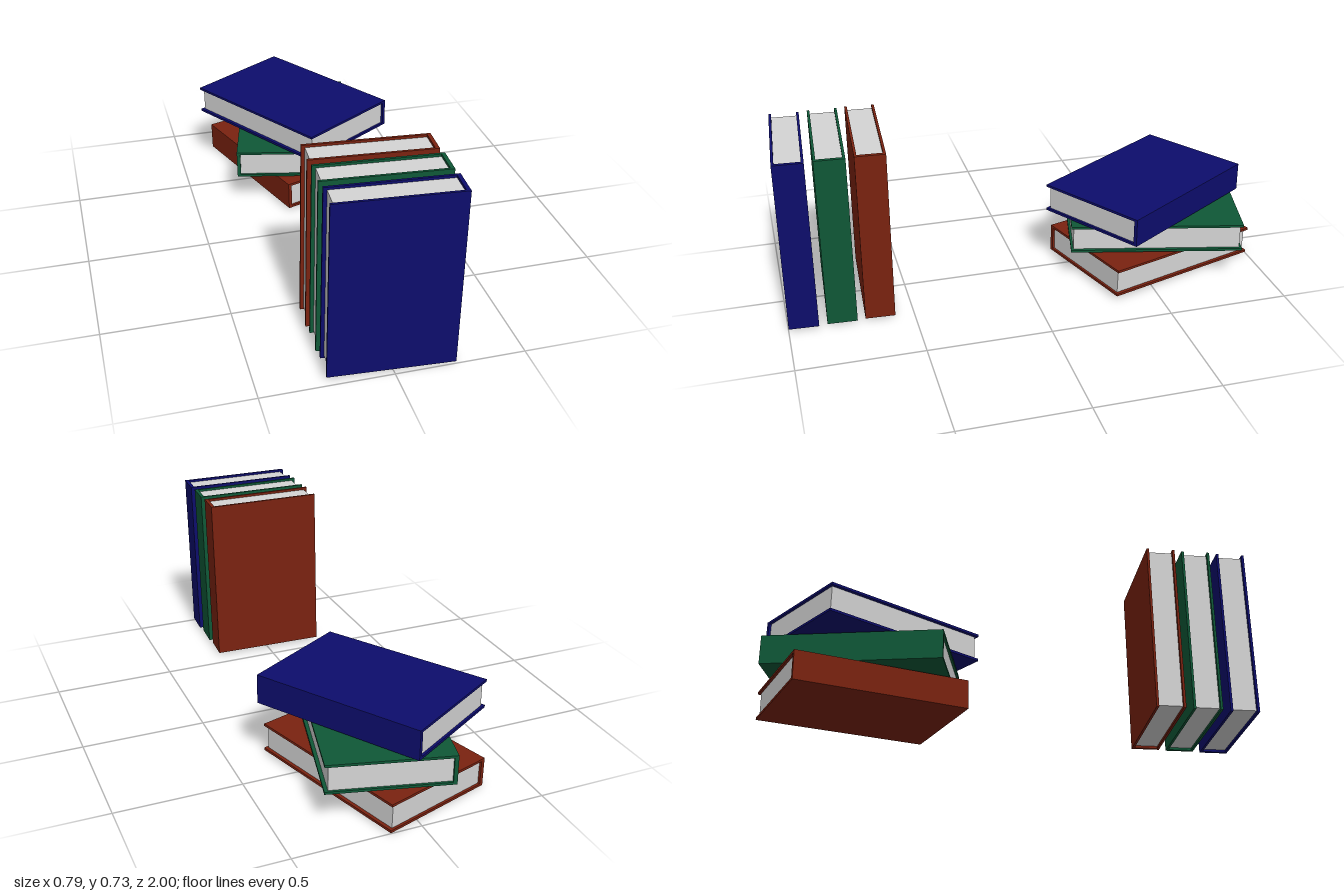
import * as THREE from 'three';

const W = 0.48, H = 0.715, T = 0.119;   // book width, height, thickness
const BOARD = 0.01, SPINE = 0.015;      // cover board and spine thickness
const FORE = 0.014, TRIM = 0.01;        // how far the pages sit inside the cover

const mat = (name, color) => {
  const m = new THREE.MeshStandardMaterial({ color });
  m.name = name;
  return m;
};

// U-shaped cover section (spine at +x), extruded along the book's height
function coverGeometry() {
  const w = W / 2, t = T / 2, s = w - SPINE, b = t - BOARD;
  const pts = [[-w, -t], [w, -t], [w, t], [-w, t], [-w, b], [s, b], [s, -b], [-w, -b]];
  const shape = new THREE.Shape(pts.map(([x, y]) => new THREE.Vector2(x, y)));
  const g = new THREE.ExtrudeGeometry(shape, { depth: H, bevelEnabled: false });
  g.translate(0, 0, -H / 2);
  g.rotateX(-Math.PI / 2);
  return g;
}

// Page block, inset on the three open sides
function pagesGeometry() {
  const g = new THREE.BoxGeometry(W - FORE - SPINE, H - 2 * TRIM, T - 2 * BOARD);
  g.translate((FORE - SPINE) / 2, 0, 0);
  return g;
}

export function createModel() {
  const root = new THREE.Group();
  root.name = 'books';
  const blue = mat('blue cover', 0x0d0d6c);
  const green = mat('green cover', 0x0f5837);
  const red = mat('red cover', 0x7a2210);
  const paper = mat('paper', 0xd4d4d4);
  const coverGeo = coverGeometry(), pagesGeo = pagesGeometry();

  function book(name, material) {
    const g = new THREE.Group();
    g.name = name;
    const cover = new THREE.Mesh(coverGeo, material);
    cover.name = 'cover';
    const pages = new THREE.Mesh(pagesGeo, paper);
    pages.name = 'pages';
    g.add(cover, pages);
    root.add(g);
    return g;
  }

  // Upright row, leaning very slightly
  [['standingBlueBook', blue, 0.928], ['standingGreenBook', green, 0.776], ['standingRedBook', red, 0.625]]
    .forEach(([name, m, z]) => {
      const b = book(name, m);
      b.position.set(0, 0.3725, z);
      b.rotation.set(0, -0.052, -0.0145, 'YXZ');
    });

  // Loose stack: position, turn about the vertical, slope along x and z
  const up = new THREE.Vector3(0, 1, 0);
  const flat = new THREE.Quaternion().setFromAxisAngle(new THREE.Vector3(1, 0, 0), -Math.PI / 2);
  [
    ['lyingRedBook', red, [0.007, 0.07, -0.588], Math.PI + 0.318, 0.0117, 0.0153],
    ['lyingGreenBook', green, [0.007, 0.198, -0.588], Math.PI - 0.243, 0.008, 0],
    ['lyingBlueBook', blue, [-0.002, 0.3245, -0.555], 0.555, 0.008, -0.004],
  ].forEach(([name, m, pos, turn, sx, sz]) => {
    const b = book(name, m);
    b.position.set(...pos);
    const yaw = new THREE.Quaternion().setFromAxisAngle(up, turn);
    const tilt = new THREE.Quaternion().setFromUnitVectors(up, new THREE.Vector3(-sx, 1, -sz).normalize());
    b.quaternion.copy(tilt).multiply(yaw).multiply(flat);
  });

  return root;
}
